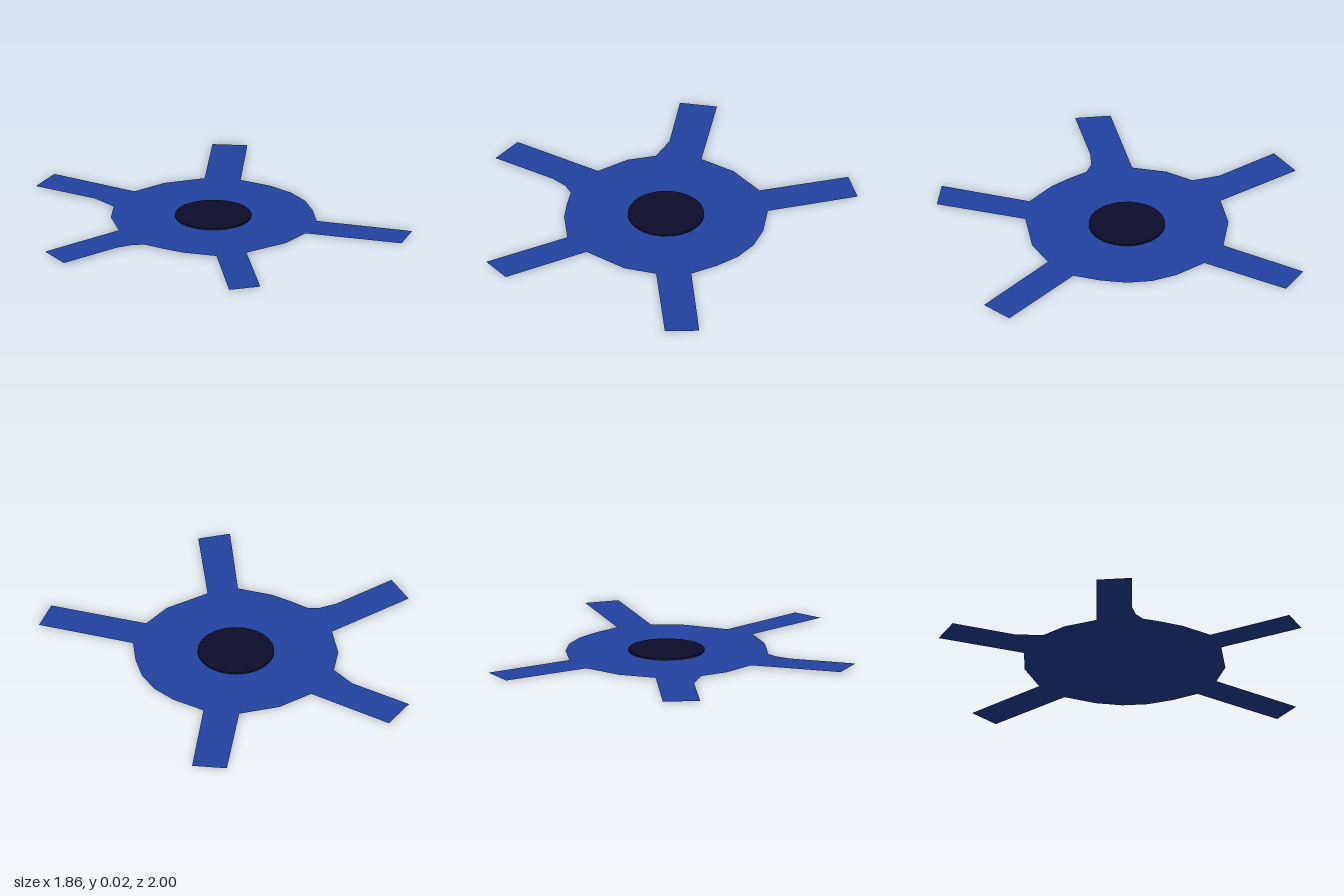
import * as THREE from 'three';

export function createModel() {
  const model = new THREE.Group();
  const blue = new THREE.MeshStandardMaterial({ name: 'royal blue', color: 0x2343a3, side: THREE.DoubleSide });
  const dark = new THREE.MeshStandardMaterial({ name: 'midnight', color: 0x0d0d2b });

  // Sheet outline as [x, z], clockwise from the back arm
  const outline = [
    [-0.23, -1], [-0.01, -0.545], [0.2, -0.555], [0.42, -0.49],
    [0.74, -0.88], [0.89, -0.76], [0.57, -0.36], [0.66, -0.19],
    [0.695, -0.05], [0.69, 0.09], [0.645, 0.23], [0.575, 0.37],
    [0.925, 0.785], [0.775, 0.9], [0.42, 0.485], [0.25, 0.545],
    [-0.01, 0.54], [-0.23, 0.995], [-0.4, 0.94], [-0.175, 0.49],
    [-0.3, 0.345], [-0.36, 0.235], [-0.405, 0.135], [-0.465, 0.1],
    [-0.56, 0.085], [-0.93, 0.11], [-0.92, -0.085], [-0.405, -0.12],
    [-0.335, -0.3], [-0.23, -0.425], [-0.25, -0.58], [-0.415, -0.91],
  ];
  const shape = new THREE.Shape(outline.map(([x, z]) => new THREE.Vector2(x, -z)));
  const sheet = new THREE.ShapeGeometry(shape);
  sheet.rotateX(-Math.PI / 2);

  // Very slight tilt, lowest at the +x arms
  const pos = sheet.attributes.position;
  for (let i = 0; i < pos.count; i++) pos.setY(i, 0.006 - 0.0064 * pos.getX(i));
  sheet.computeVertexNormals();
  const body = new THREE.Mesh(sheet, blue);
  body.name = 'fiveArmedSheet';
  model.add(body);

  // Round hub plate on top
  const hub = new THREE.Mesh(new THREE.CylinderGeometry(0.21, 0.21, 0.01, 24), dark);
  hub.name = 'hubDisc';
  hub.position.set(0.14, 0.014, 0);
  model.add(hub);

  return model;
}
